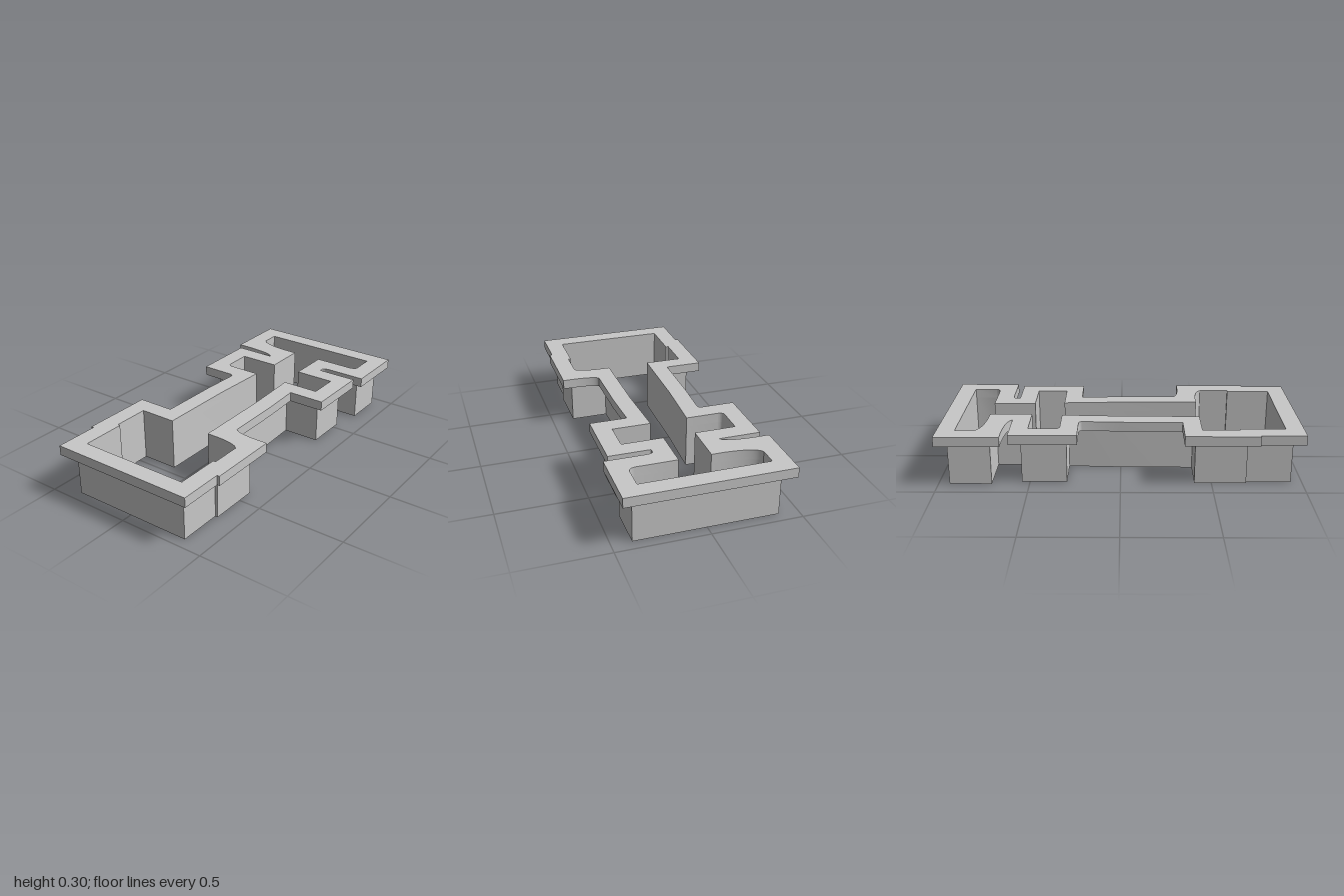
import * as THREE from 'three';
import { toCreasedNormals } from 'three/addons/utils/BufferGeometryUtils.js';

// Inner outline of the back half, left to right, as [x, distance from centre line]
const half = [
  [-0.9, 0.319], [-0.652, 0.319], [-0.652, 0.334], [-0.445, 0.334], [-0.445, 0.123],
  [0, 0.119], [0.334, 0.104], [0.334, 0.319], [0.506, 0.319], [0.506, 0.088],
  [0.746, 0.088], [0.746, 0.353], [0.9, 0.353],
];
// Closed clockwise loop: back half, then its mirror along the front
const loop = [...half, ...half.map(([x, y]) => [x, -y]).reverse()]
  .map(([x, y]) => new THREE.Vector2(x, y));

// Rounded corners: index -> [length before, length after]
const innerFillets = { 7: [0.03, 0.02], 11: [0.2, 0.055], 14: [0.025, 0.04], 22: [0.14, 0.04] };
const outerFillets = { 6: [0.02, 0.02], 10: [0.038, 0.18], 15: [0.038, 0.015], 21: [0.03, 0.14] };

// Moves every edge of the loop outward by d, keeping mitred corners
function offset(points, d) {
  const n = points.length;
  const normal = (a, b) => {
    const t = b.clone().sub(a).normalize();
    return new THREE.Vector2(-t.y, t.x);
  };
  return points.map((p, i) => {
    const n1 = normal(points[(i + n - 1) % n], p);
    const n2 = normal(p, points[(i + 1) % n]);
    return p.clone().addScaledVector(n1.clone().add(n2), d / (1 + n1.dot(n2)));
  });
}

// Replaces listed corners by shallow curves
function fillet(points, fillets) {
  const n = points.length;
  return points.flatMap((p, i) => {
    if (!fillets[i]) return [p];
    const toward = (q, len) => p.clone().addScaledVector(q.clone().sub(p).normalize(), len);
    const start = toward(points[(i + n - 1) % n], fillets[i][0]);
    const end = toward(points[(i + 1) % n], fillets[i][1]);
    const control = p.clone().lerp(start.clone().lerp(end, 0.5), 0.25);
    return new THREE.QuadraticBezierCurve(start, control, end).getPoints(10);
  });
}

// Upright ring between the inner outline and an outer one
function ring(name, outer, bottom, top, material) {
  const shape = new THREE.Shape(outer);
  // The hole runs the other way round so that its walls face inward
  shape.holes.push(new THREE.Path(fillet(loop, innerFillets).reverse()));
  const geometry = new THREE.ExtrudeGeometry(shape, { depth: top - bottom, bevelEnabled: false });
  geometry.rotateX(-Math.PI / 2);
  geometry.translate(0, bottom, 0);
  const mesh = new THREE.Mesh(toCreasedNormals(geometry, 0.35), material);
  mesh.name = name;
  return mesh;
}

export function createModel() {
  const grey = new THREE.MeshStandardMaterial({ color: 0xc8c8c8 });
  grey.name = 'grey';
  const group = new THREE.Group();
  group.name = 'flangedFrame';
  // Thin wall with a wider rim on top
  group.add(ring('wall', offset(loop, 0.039), 0, 0.243, grey));
  group.add(ring('rim', fillet(offset(loop, 0.1), outerFillets), 0.243, 0.298, grey));
  return group;
}
